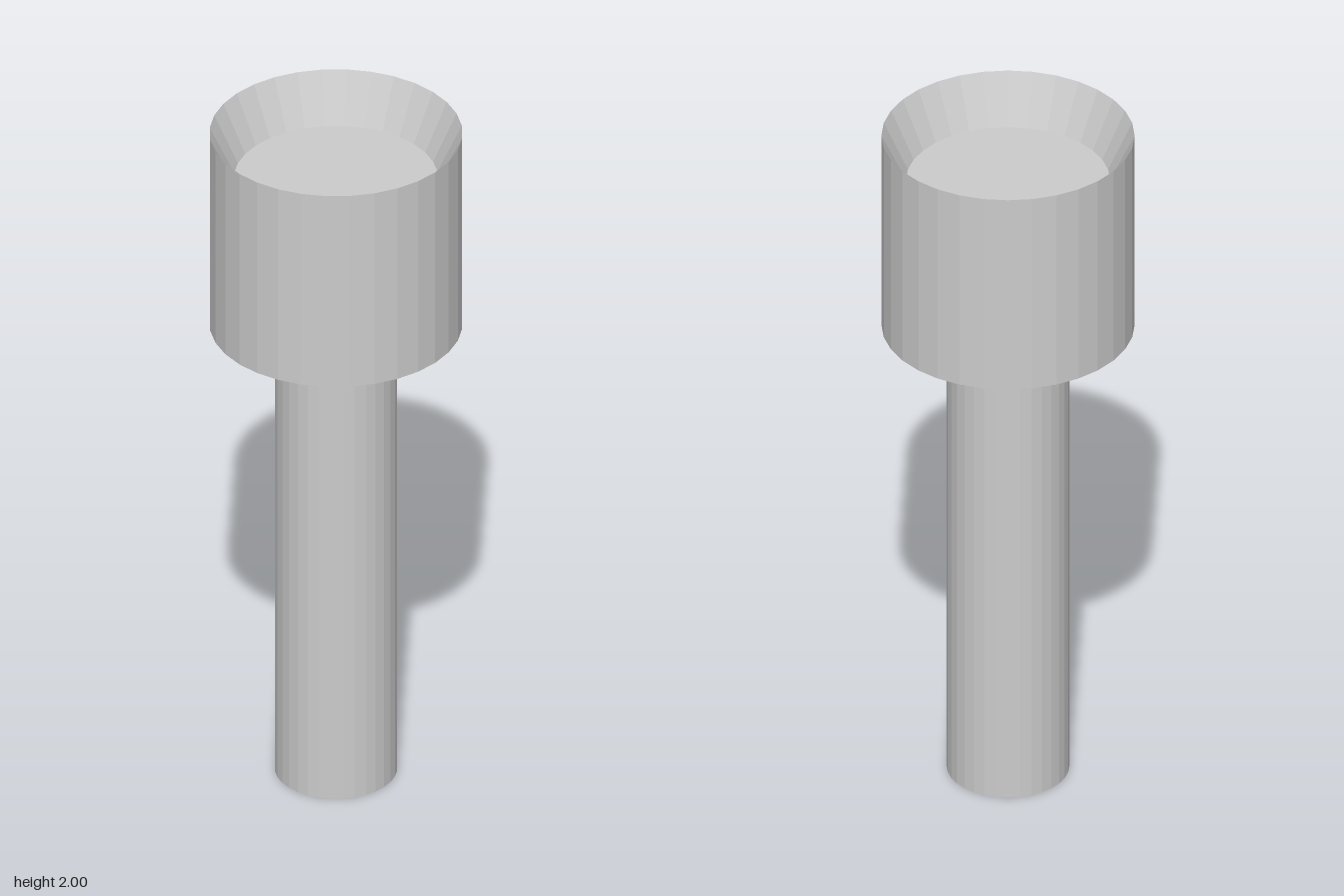
import * as THREE from 'three';

const SIDES = 32;
const SHAFT_R = 0.167, HEAD_R = 0.345, FLOOR_R = 0.278;
const HEAD_Y = 1.4, FLOOR_Y = 1.86, TOP_Y = 2;

// Revolve an [r, y] profile, listed from the bottom up along the outside
function turned(name, profile, material) {
  const points = profile.map(([r, y]) => new THREE.Vector2(r, y));
  const mesh = new THREE.Mesh(new THREE.LatheGeometry(points, SIDES), material);
  mesh.name = name;
  return mesh;
}

export function createModel() {
  const group = new THREE.Group();
  group.name = 'recessedHeadPin';
  const material = new THREE.MeshStandardMaterial({ color: 0xcccccc, flatShading: true });

  // Plain shaft with a closed bottom; its top meets the head
  group.add(turned('shaft', [[0, 0], [SHAFT_R, 0], [SHAFT_R, HEAD_Y]], material));

  // Wide head: underside ring, wall, sharp rim, tapered recess and flat floor
  group.add(turned('head', [
    [SHAFT_R, HEAD_Y], [HEAD_R, HEAD_Y], [HEAD_R, TOP_Y], [FLOOR_R, FLOOR_Y], [0, FLOOR_Y],
  ], material));

  return group;
}
